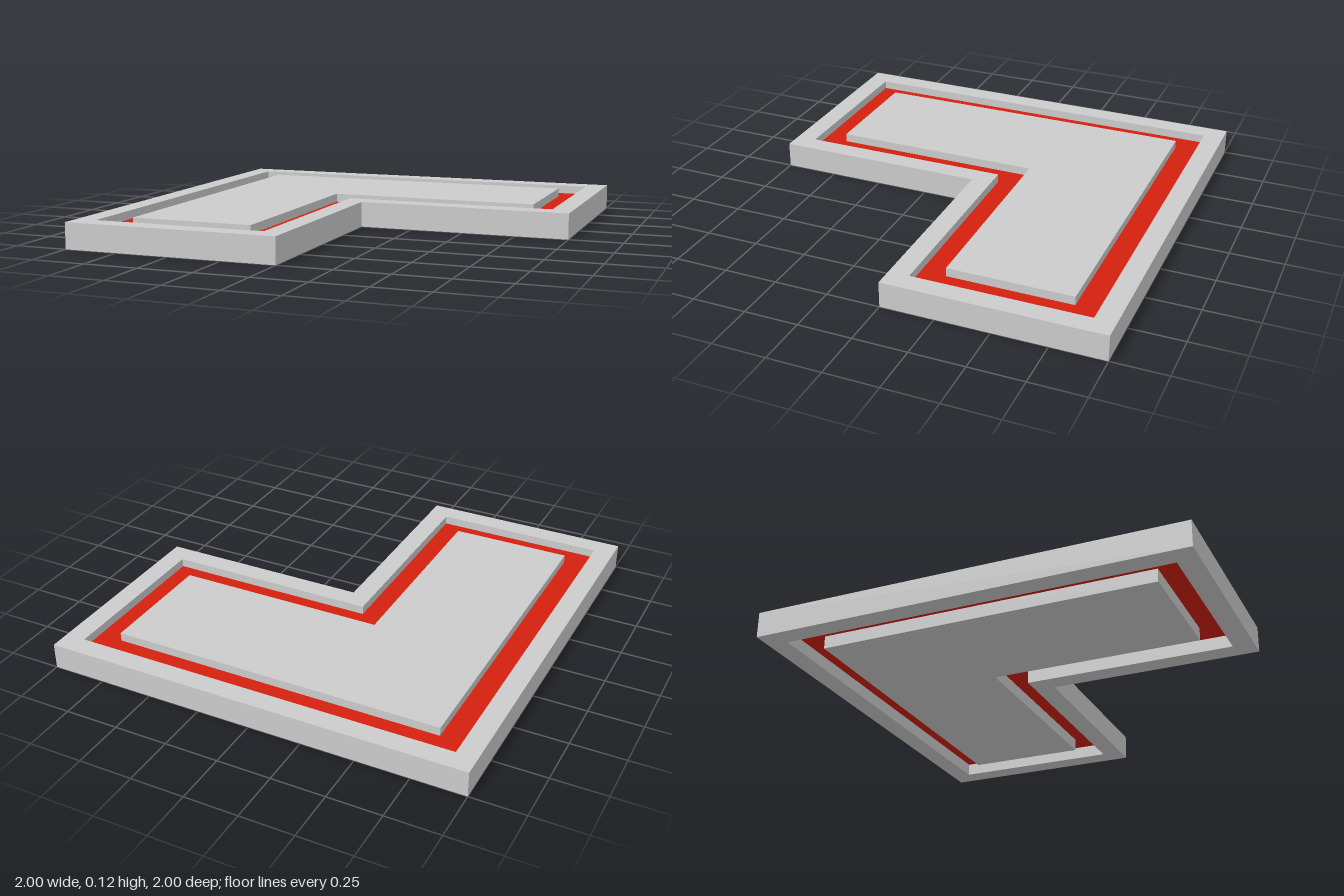
import * as THREE from 'three';

const HEIGHT = 0.12;
const GROOVE_OUTER = 0.096; // distance of the groove's outer wall from the edge
const GROOVE_INNER = 0.212; // distance of the groove's inner wall from the edge

// L-shaped outline, moved inwards by d
function outline(d) {
  const e = 1 - d;
  return [[-e, -e], [-d, -e], [-d, d], [e, d], [e, e], [-e, e]]
    .map(([x, y]) => new THREE.Vector2(x, y));
}

// L-shaped slab from y0 to y1, optionally hollowed out to a frame
function slab(name, material, outer, inner, y0, y1) {
  const shape = new THREE.Shape(outline(outer));
  if (inner !== null) shape.holes.push(new THREE.Path(outline(inner)));
  const geometry = new THREE.ExtrudeGeometry(shape, { depth: y1 - y0, bevelEnabled: false });
  geometry.rotateX(-Math.PI / 2).translate(0, y0, 0);
  const mesh = new THREE.Mesh(geometry, material);
  mesh.name = name;
  return mesh;
}

export function createModel() {
  const grey = new THREE.MeshStandardMaterial({ color: 0xcccccc });
  const red = new THREE.MeshStandardMaterial({ color: 0xd4200e });
  const model = new THREE.Group();
  model.name = 'cornerTile';
  model.add(
    slab('rim', grey, 0, GROOVE_OUTER, 0, HEIGHT),
    slab('centrePlate', grey, GROOVE_INNER, null, 0, HEIGHT),
    // recessed strip joining rim and plate, leaving a groove above and below
    slab('grooveStrip', red, GROOVE_OUTER, GROOVE_INNER, 0.06, 0.08),
  );
  return model;
}
